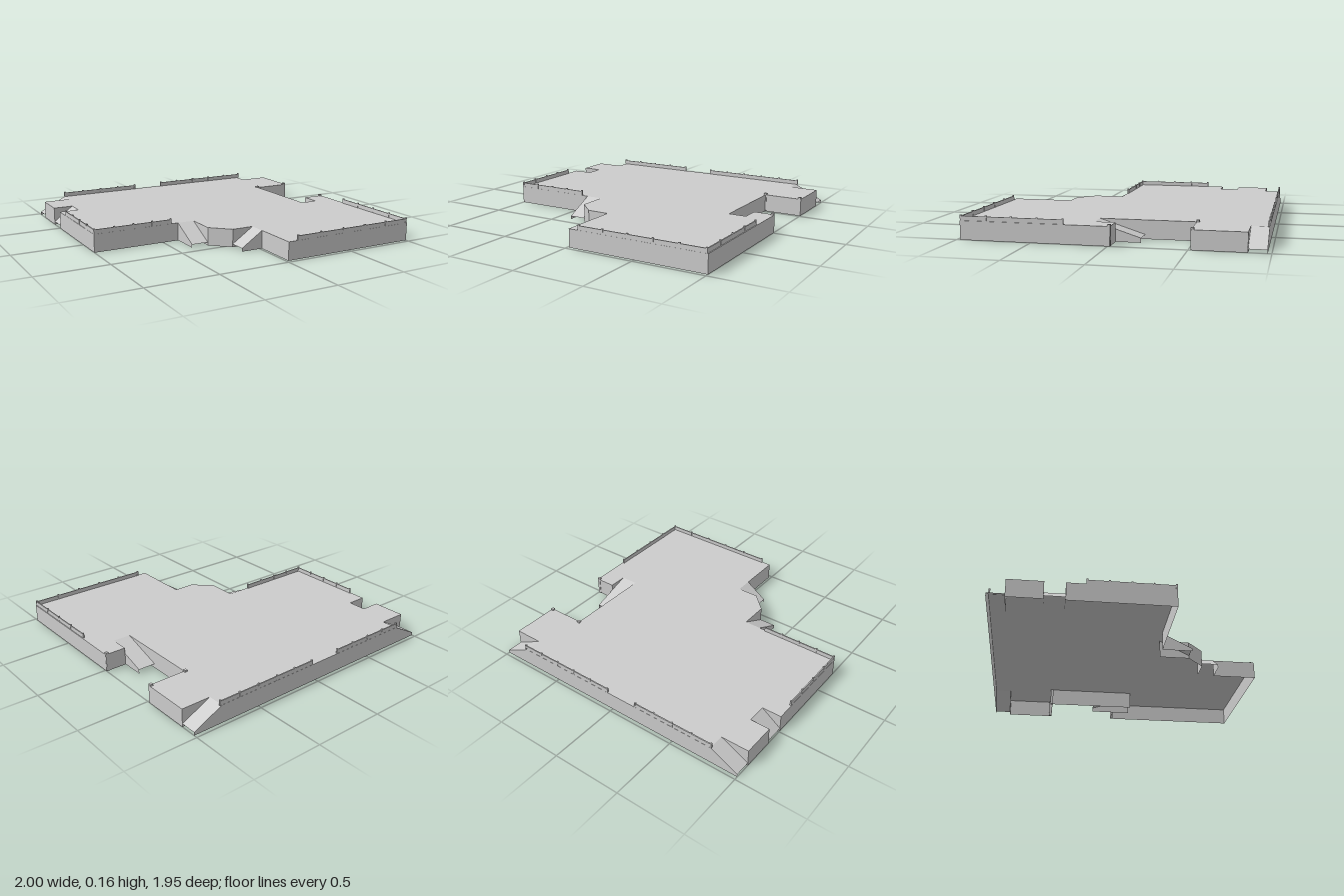
import * as THREE from 'three';

const H = 0.125; // deck height
const LOW = 0.022; // height of the ramp toes

export function createModel() {
  const group = new THREE.Group();
  const grey = new THREE.MeshStandardMaterial({ color: 0xcccccc, side: THREE.DoubleSide });
  grey.name = 'light grey';

  const add = (name, geometry) => {
    const mesh = new THREE.Mesh(geometry, grey);
    mesh.name = name;
    group.add(mesh);
    return mesh;
  };
  // flat four-sided panel from corners in order
  const panel = (name, a, b, c, d) => {
    const g = new THREE.BufferGeometry();
    g.setAttribute('position', new THREE.Float32BufferAttribute([a, b, c, a, c, d].flat(), 3));
    g.computeVertexNormals();
    add(name, g);
  };
  const box = (name, w, h, d, x, y, z) =>
    add(name, new THREE.BoxGeometry(w, h, d)).position.set(x, y, z);

  // deck outline as [x, z, open]; open edges meet a ramp and have no wall
  const outline = [
    [-0.8, -0.975], [0.79, -0.975, true], [0.79, -0.86], [1, -0.86], [1, -0.515],
    [0.725, -0.515], [0.725, 0.12, true], [0.85, 0.12], [0.85, -0.015], [1, -0.015],
    [1, 0.975], [0.015, 0.975], [0.015, 0.66, true], [0.015, 0.54], [-0.14, 0.54],
    [-0.265, 0.42], [-0.265, 0.21, true], [-0.385, 0.21], [-1, 0.21], [-1, -0.49],
    [-0.86, -0.49, true], [-0.86, -0.625], [-1, -0.625], [-1, -0.86], [-0.8, -0.86, true],
  ];
  const shape = new THREE.Shape(outline.map(([x, z]) => new THREE.Vector2(x, -z)));
  add('deck', new THREE.ShapeGeometry(shape).rotateX(-Math.PI / 2).translate(0, H, 0));

  // skirt walls, open below
  outline.forEach(([x, z, open], i) => {
    const [u, v] = outline[(i + 1) % outline.length];
    if (!open) panel('skirtWall', [x, 0, z], [x, H, z], [u, H, v], [u, 0, v]);
  });

  // ramp from the top edge a-b down along [dx, dz]; the a side may be closed by a cheek
  const ramp = (name, [ax, az], [bx, bz], [dx, dz], cheek = true, low = LOW) => {
    panel(name, [ax, H, az], [ax + dx, low, az + dz], [bx + dx, low, bz + dz], [bx, H, bz]);
    if (cheek) {
      panel(name + 'Cheek', [ax, 0, az], [ax, H, az], [ax + dx, low, az + dz], [ax + dx, 0, az + dz]);
    }
  };
  ramp('backLeftRamp', [0.79, -0.975], [0.79, -0.86], [0.21, 0]);
  ramp('backRightRamp', [-0.8, -0.975], [-0.8, -0.86], [-0.2, 0]);
  ramp('sideRamp', [-0.86, -0.625], [-0.86, -0.49], [-0.14, 0], false);
  ramp('frontRamp', [-0.385, 0.21], [-0.265, 0.21], [0, 0.21]);
  ramp('innerCornerRamp', [0.015, 0.66], [0.015, 0.54], [-0.155, 0]);
  ramp('notchRamp', [0.85, 0.12], [0.725, 0.12], [0, -0.3], true, 0.03);

  // low parapets with evenly spaced posts
  const parapet = (x0, z0, x1, z1, bays) => {
    const t = 0.008;
    box('parapet', Math.abs(x1 - x0) + t, 0.03, Math.abs(z1 - z0) + t,
      (x0 + x1) / 2, H + 0.015, (z0 + z1) / 2);
    for (let i = 0; i <= bays; i++) {
      const k = i / bays;
      box('parapetPost', 0.011, 0.037, 0.011, x0 + (x1 - x0) * k, H + 0.0185, z0 + (z1 - z0) * k);
    }
  };
  parapet(-0.8, -0.97, -0.2, -0.97, 4);
  parapet(0.04, -0.97, 0.8, -0.97, 5);
  parapet(-0.994, 0.205, -0.44, 0.205, 4);
  parapet(-0.994, -0.36, -0.994, 0.205, 4);
  parapet(0.09, 0.97, 0.99, 0.97, 5);
  parapet(0.99, 0.29, 0.99, 0.97, 4);

  // short posts at the notch corners
  for (const [x, z] of [[0.722, -0.522], [0.988, -0.525], [0.988, -0.008]]) {
    box('notchPost', 0.02, 0.137, 0.02, x, 0.0685, z);
  }
  return group;
}
